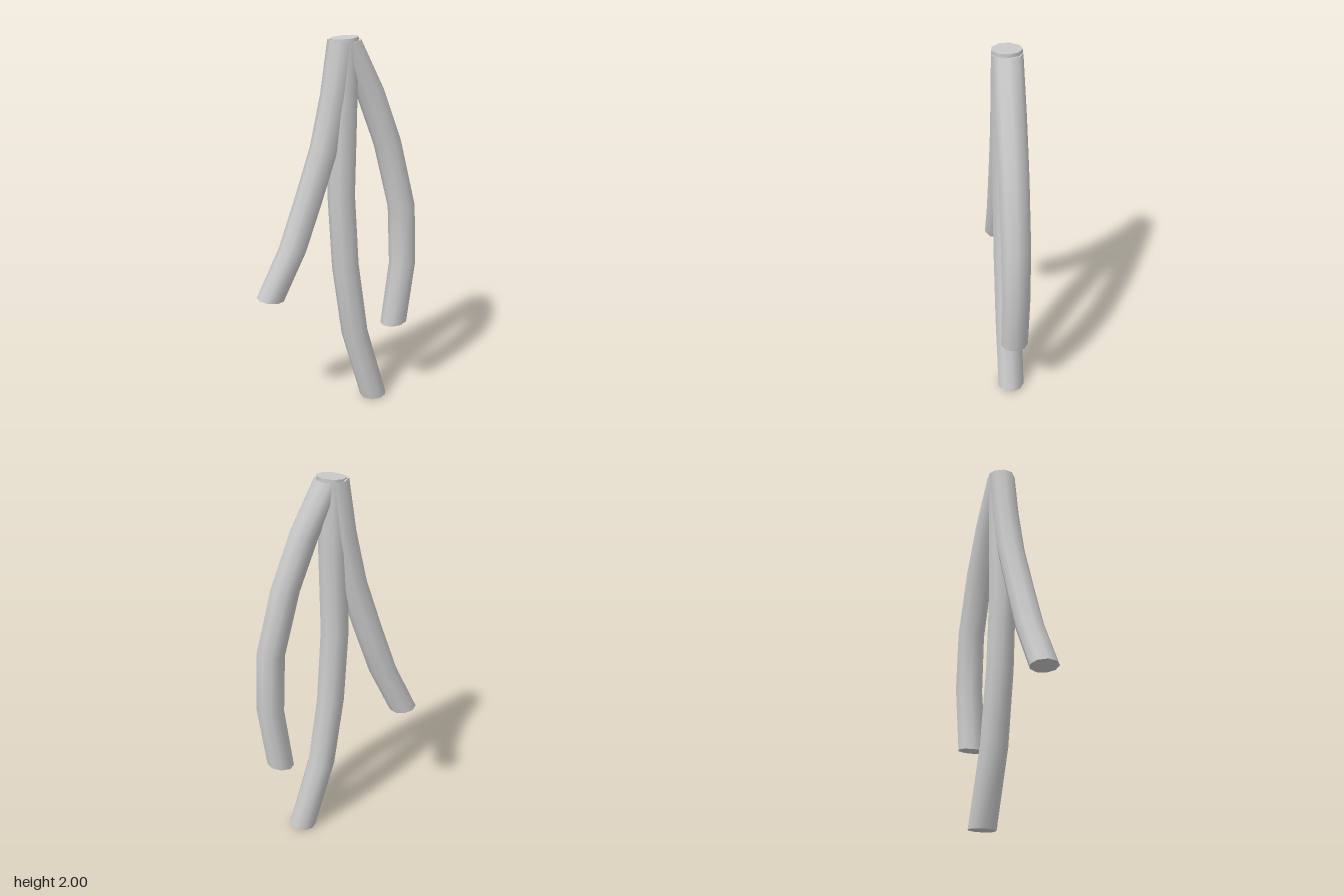
import * as THREE from 'three';
import { mergeVertices, toCreasedNormals } from 'three/addons/utils/BufferGeometryUtils.js';

const RADIUS = 0.073;
const SIDES = 9;

// Tube whose rings all share one tilt and are shifted along a list of [x, y] centres (top to bottom)
function strand(name, tilt, centres, material) {
  const rows = centres.length - 1;
  const base = new THREE.CylinderGeometry(RADIUS, RADIUS, rows, SIDES, rows, false, Math.PI / 2);
  base.deleteAttribute('uv');
  base.deleteAttribute('normal');
  const geometry = mergeVertices(base);
  const p = geometry.attributes.position;
  for (let i = 0; i < p.count; i++) {
    const [cx, cy] = centres[Math.round(rows / 2 - p.getY(i))];
    const x = p.getX(i);
    p.setXYZ(i, cx + x * Math.cos(tilt), cy + x * Math.sin(tilt), p.getZ(i));
  }
  const mesh = new THREE.Mesh(toCreasedNormals(geometry, 0.95), material);
  mesh.name = name;
  return mesh;
}

export function createModel() {
  const group = new THREE.Group();
  group.name = 'hangingStrands';
  const material = new THREE.MeshStandardMaterial({ color: 0xcccccc });

  // Long strand in the middle
  group.add(strand('middleStrand', 0.08, [
    [0.03, 1.994], [0.024, 1.596], [0.016, 1.198], [0.04, 0.8], [0.095, 0.403], [0.207, 0.006],
  ], material));

  // Short strand swinging out to -x
  group.add(strand('rightStrand', -0.1, [
    [0.018, 1.978], [-0.02, 1.717], [-0.076, 1.456], [-0.16, 1.195], [-0.25, 0.934], [-0.375, 0.673],
  ], material));

  // Bowed strand on the +x side
  group.add(strand('leftStrand', 0.13, [
    [0.043, 1.975], [0.168, 1.722], [0.268, 1.452], [0.353, 1.11], [0.367, 0.788], [0.323, 0.438],
  ], material));

  return group;
}
